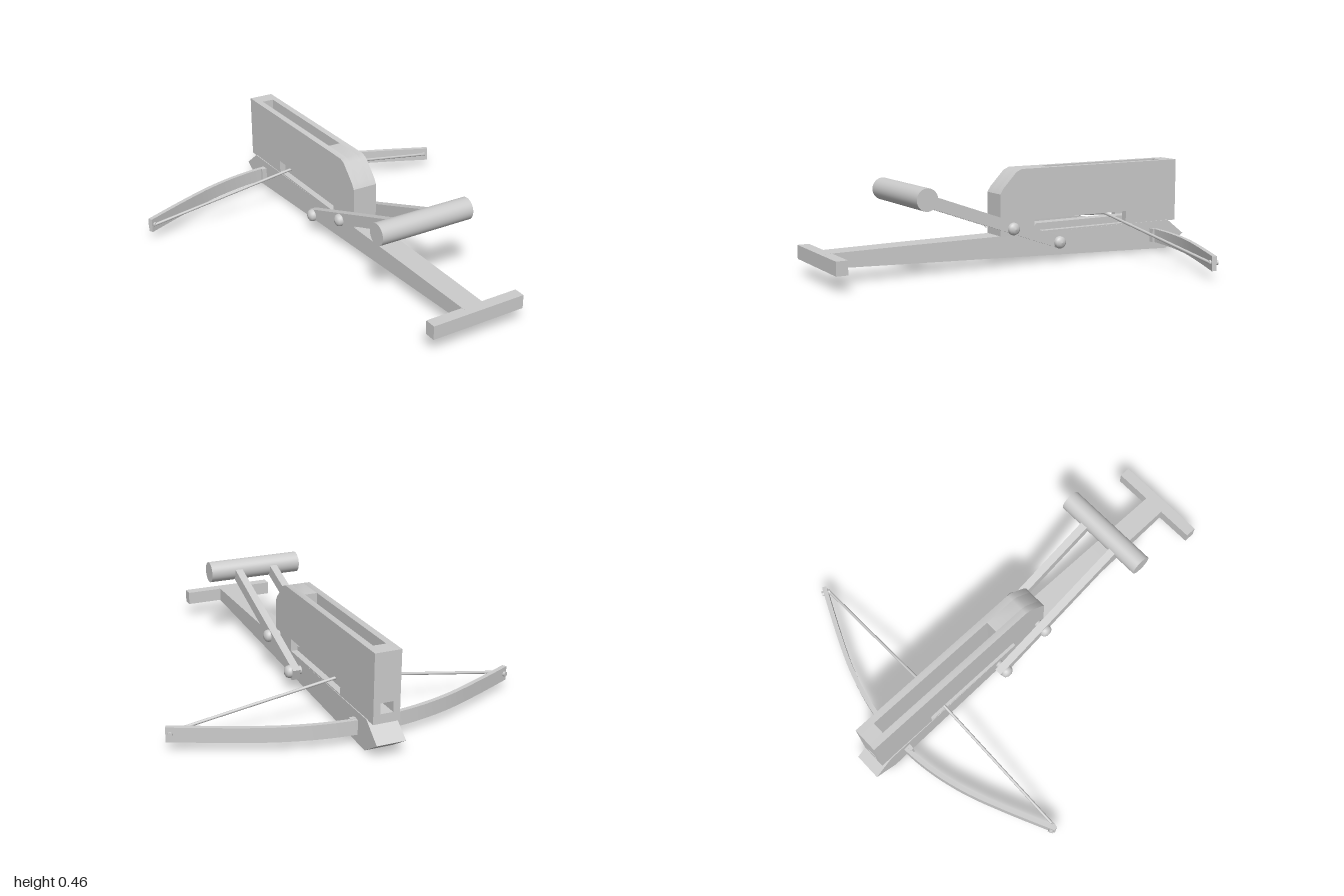
import * as THREE from 'three';
import { toCreasedNormals } from 'three/addons/utils/BufferGeometryUtils.js';

export function createModel() {
  const model = new THREE.Group();
  const grey = new THREE.MeshStandardMaterial({ color: 0xcccccc });

  function add(name, geometry, x = 0, y = 0, z = 0) {
    const mesh = new THREE.Mesh(geometry, grey);
    mesh.name = name;
    mesh.position.set(x, y, z);
    model.add(mesh);
    return mesh;
  }

  // Box given by its limits on each axis
  function block(name, x0, x1, y0, y1, z0, z1) {
    return add(name, new THREE.BoxGeometry(x1 - x0, y1 - y0, z1 - z0),
      (x0 + x1) / 2, (y0 + y1) / 2, (z0 + z1) / 2);
  }

  // Side profile of [z, y] points, extruded between two x values
  function sideExtrude(points, x0, x1, hole) {
    const shape = new THREE.Shape(points.map(p => new THREE.Vector2(...p)));
    if (hole) shape.holes.push(new THREE.Path(hole.map(p => new THREE.Vector2(...p))));
    const g = new THREE.ExtrudeGeometry(shape, { depth: x1 - x0, bevelEnabled: false });
    return g.rotateY(-Math.PI / 2).translate(x1, 0, 0);
  }

  // Cylinder between two points
  function rod(name, a, b, radius, sides = 24) {
    const from = new THREE.Vector3(...a), to = new THREE.Vector3(...b);
    const dir = to.clone().sub(from);
    const mesh = add(name, new THREE.CylinderGeometry(radius, radius, dir.length(), sides));
    mesh.position.copy(from).add(to).multiplyScalar(0.5);
    mesh.quaternion.setFromUnitVectors(new THREE.Vector3(0, 1, 0), dir.normalize());
    return mesh;
  }

  // Stock, widening towards its pointed nose
  const stock = sideExtrude([[1, 0.075], [1, 0.14], [0.55, 0.143], [-0.9, 0.147],
    [-1, 0.07], [-0.89, 0]], -1, 1);
  const pos = stock.attributes.position;
  for (let i = 0; i < pos.count; i++) {
    const t = (1 - pos.getZ(i)) / 2;
    pos.setX(i, pos.getX(i) * (0.052 + 0.016 * t));
  }
  stock.computeVertexNormals();
  add('stock', stock);
  block('buttBar', -0.235, 0.235, 0.075, 0.14, 0.945, 1);

  // Magazine: slotted side walls around an open well
  const outline = [[0.1, 0.143], [0.1, 0.345], [0.085, 0.37], [0.01, 0.448],
    [-0.02, 0.46], [-0.95, 0.46], [-0.95, 0.143]];
  const slot = [[-0.09, 0.152], [-0.09, 0.212], [-0.635, 0.212], [-0.635, 0.152]];
  for (const [x0, x1] of [[-0.062, -0.03], [0.03, 0.062]]) {
    add('magazineWall', toCreasedNormals(sideExtrude(outline, x0, x1, slot), 0.5));
  }
  add('magazineRear', toCreasedNormals(sideExtrude([[0.1, 0.143], [0.1, 0.345], [0.085, 0.37],
    [0.01, 0.448], [-0.02, 0.46], [-0.18, 0.46], [-0.18, 0.212], [-0.09, 0.212],
    [-0.09, 0.143]], -0.03, 0.03), 0.5));
  block('magazineFront', -0.03, 0.03, 0.235, 0.46, -0.95, -0.87);
  add('boltTrack', sideExtrude([[-0.09, 0.143], [-0.09, 0.175], [-0.11, 0.175],
    [-0.12, 0.186], [-0.95, 0.186], [-0.95, 0.143]], -0.03, 0.03));

  // Bow: a curved strip, offset on both sides of a spline
  const spline = new THREE.SplineCurve([[-0.83, -0.56], [-0.6, -0.665], [-0.4, -0.745],
    [-0.2, -0.795], [0, -0.812], [0.2, -0.795], [0.4, -0.745], [0.6, -0.665], [0.83, -0.56]]
    .map(p => new THREE.Vector2(...p)));
  const inner = [], outer = [];
  for (let i = 0; i <= 48; i++) {
    const p = spline.getPoint(i / 48), t = spline.getTangent(i / 48);
    const n = new THREE.Vector2(-t.y, t.x).multiplyScalar(0.011);
    inner.push(p.clone().add(n));
    outer.unshift(p.clone().sub(n));
  }
  const bow = new THREE.ExtrudeGeometry(new THREE.Shape([...inner, ...outer]),
    { depth: 0.068, bevelEnabled: false });
  add('bow', toCreasedNormals(bow.rotateX(Math.PI / 2).translate(0, 0.11, 0), 0.5));

  // Pump handle
  rod('handle', [-0.24, 0.372, 0.57], [0.24, 0.372, 0.57], 0.052, 40);

  // Domed pin head, its axis along +x
  const dome = new THREE.LatheGeometry([[0.03, 0], [0.03, 0.01], [0.026, 0.02],
    [0.015, 0.027], [0, 0.03]].map(p => new THREE.Vector2(...p)), 24).rotateZ(-Math.PI / 2);

  const pins = [[0.185, 0.06], [0.098, -0.2]];
  const tilt = Math.atan2(0.274, 0.77);
  for (const s of [-1, 1]) {
    // Lever arm, reaching a little past the lower pin
    const arm = add('leverArm', new THREE.BoxGeometry(0.038, 0.056, 0.84), s * 0.095, 0.228, 0.167);
    arm.rotation.x = -tilt;

    for (const [y, z] of pins) {
      const head = add('pinHead', dome, s * 0.113, y, z);
      if (s < 0) head.rotation.y = Math.PI;
    }

    // String half, peg at the bow tip and wedge at the bow root
    rod('bowstring', [s * 0.81, 0.078, -0.553], [0, 0.2, -0.55], 0.007, 10);
    const peg = [s * 0.812, 0.078, -0.568];
    rod('tipPeg', [peg[0] - s * 0.008, peg[1], peg[2] + 0.018],
      [peg[0] + s * 0.009, peg[1], peg[2] - 0.02], 0.012, 16);
    block('bowWedge', s * 0.075 - 0.018, s * 0.075 + 0.018, 0.042, 0.112, -0.805, -0.785);
  }
  for (const [y, z] of pins) rod('pivotPin', [-0.115, y, z], [0.115, y, z], 0.02);

  return model;
}
